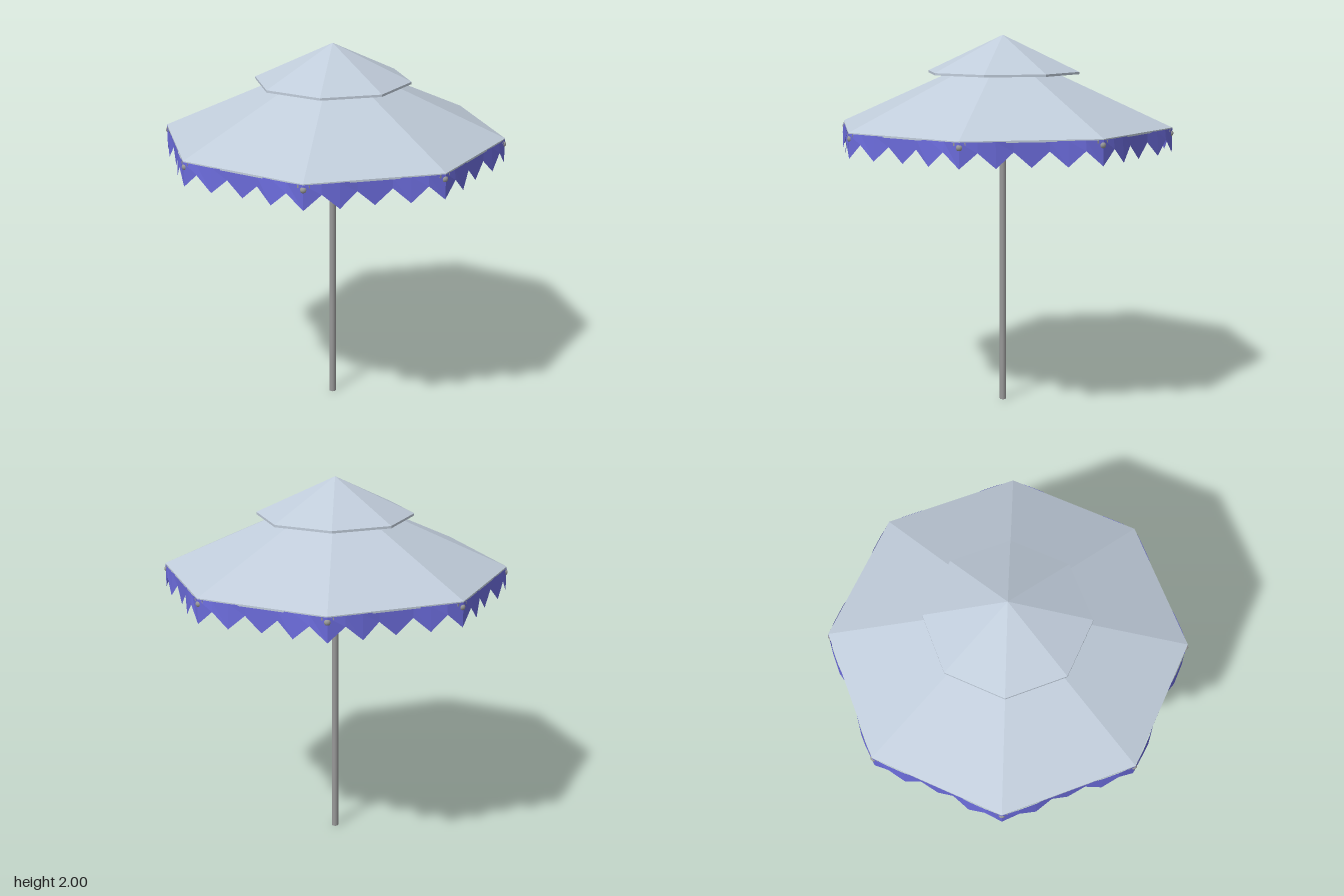
import * as THREE from 'three';

const SIDES = 8, RIM = 0.9, RIM_Y = 1.53;

export function createModel() {
  const group = new THREE.Group();
  const clothMat = new THREE.MeshStandardMaterial({ color: 0xc0ccda, flatShading: true });
  const valanceMat = new THREE.MeshStandardMaterial({ color: 0x6a6ad8, flatShading: true, side: THREE.DoubleSide });
  const metalMat = new THREE.MeshStandardMaterial({ color: 0x999999 });

  const add = (name, geometry, material, parent = group) => {
    const mesh = new THREE.Mesh(geometry, material);
    mesh.name = name;
    parent.add(mesh);
    return mesh;
  };

  // Eight-sided cloth shell with a thin rim: underside, edge, top
  const shell = (r, rimY, apexY, t) => new THREE.LatheGeometry([
    new THREE.Vector2(0, apexY - t),
    new THREE.Vector2(r, rimY - t),
    new THREE.Vector2(r, rimY),
    new THREE.Vector2(0, apexY),
  ], SIDES);
  add('canopy', shell(RIM, RIM_Y, 1.93, 0.01), clothMat);
  add('topCap', shell(0.41, 1.81, 2.0, 0.012), clothMat);

  // Pole
  const pole = add('pole', new THREE.CylinderGeometry(0.018, 0.018, 1.91, 12), metalMat);
  pole.position.y = 0.955;

  // One zigzag strip per side: four teeth, with half teeth meeting at the corners
  const bulge = [0, 0.01, 0.012, -0.003, -0.003, -0.003, 0.012, 0.01, 0];
  const half = RIM * Math.sin(Math.PI / SIDES);
  const apothem = RIM * Math.cos(Math.PI / SIDES);
  const positions = [], indices = [];
  bulge.forEach((out, i) => {
    const x = (i / 4 - 1) * half;
    positions.push(x, RIM_Y - 0.005, apothem + Math.min(out, 0.004));
    positions.push(x, i % 2 ? 1.475 : 1.4, apothem + out);
    if (i < 8) {
      const a = i * 2;
      indices.push(a, a + 1, a + 3, a, a + 3, a + 2);
    }
  });
  const strip = new THREE.BufferGeometry();
  strip.setAttribute('position', new THREE.Float32BufferAttribute(positions, 3));
  strip.setIndex(indices);
  strip.computeVertexNormals();

  // Rib from the hub to a corner
  const ribLine = new THREE.LineCurve3(new THREE.Vector3(0, 1.895, 0.01), new THREE.Vector3(0, 1.508, 0.89));
  const ribGeo = new THREE.TubeGeometry(ribLine, 1, 0.012, 8);
  const tipGeo = new THREE.SphereGeometry(0.017, 10, 8);
  const bracketGeo = new THREE.BoxGeometry(0.06, 0.014, 0.02);

  for (let i = 0; i < SIDES; i++) {
    const angle = (i / SIDES) * Math.PI * 2;
    add('valance', strip, valanceMat).rotation.y = angle + Math.PI / SIDES;

    const rib = new THREE.Group();
    rib.name = 'rib';
    rib.rotation.y = angle;
    add('ribRod', ribGeo, metalMat, rib);
    add('ribTip', tipGeo, metalMat, rib).position.set(0, 1.5, 0.89);
    add('ribBracket', bracketGeo, metalMat, rib).position.set(0, 1.516, 0.882);
    group.add(rib);
  }
  return group;
}
